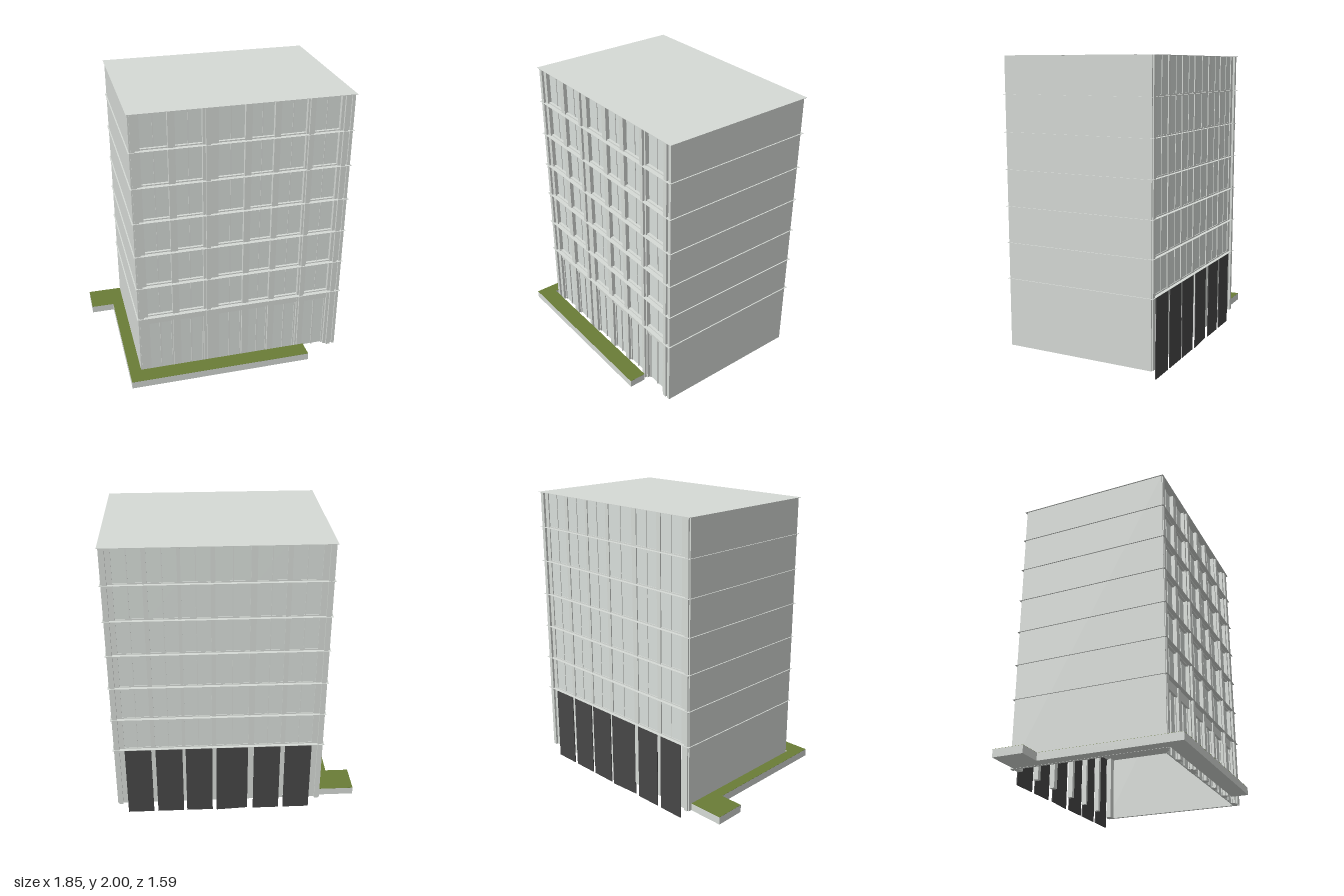
import * as THREE from 'three';

const mat = (name, color) => {
  const m = new THREE.MeshStandardMaterial({ color });
  m.name = name;
  return m;
};

export function createModel() {
  const wall = mat('pale concrete', 0xd6dad6);
  const glass = mat('pale glazing', 0xd8deda);
  const dark = mat('dark shutter', 0x474747);
  const grass = mat('grass', 0x6a7d37);

  const model = new THREE.Group();
  model.name = 'officeBlock';
  // The whole block stands turned on its plot
  const block = new THREE.Group();
  block.name = 'turnedBlock';
  block.position.set(0.056, 0, 0.02);
  block.rotation.y = -0.378;
  model.add(block);

  // Box given by its limits on each axis
  const box = (name, m, x0, x1, y0, y1, z0, z1, parent = block) => {
    const mesh = new THREE.Mesh(new THREE.BoxGeometry(x1 - x0, y1 - y0, z1 - z0), m);
    mesh.position.set((x0 + x1) / 2, (y0 + y1) / 2, (z0 + z1) / 2);
    mesh.name = name;
    parent.add(mesh);
    return mesh;
  };

  const W = 0.721, D = 0.533, base = 0.08, wallX = 0.713;
  const levels = [0.543, 0.787, 1.03, 1.272, 1.515, 1.757, 2];

  // Very thin floor slabs and roof, slightly wider than the walls
  levels.forEach((y, i) =>
    box(i === 6 ? 'roofSlab' : 'floorSlab', wall, -W, W, y - 0.002, y, -D, D));

  // Blank side walls
  for (const s of [-1, 1]) {
    const xs = [s * wallX, s * (wallX - 0.02)].sort((a, b) => a - b);
    box('sideWall', wall, xs[0], xs[1], base, 1.998, -0.517, 0.521);
  }

  const frontBays = [[-0.645, -0.475], [-0.43, -0.26], [-0.16, 0.01], [0.053, 0.198], [0.238, 0.408], [0.46, 0.63]];
  const backBays = [[-0.637, -0.454], [-0.422, -0.24], [-0.2, 0.018], [0.046, 0.228], [0.25, 0.433], [0.462, 0.642]];

  // Facades: piers between bays, glazing set back by the reveal, one row per storey
  const facade = (name, bays, s, reveal, pilasters) => {
    const g = new THREE.Group();
    g.name = name;
    block.add(g);
    // Box between two distances from the centre, on the chosen side
    const slab = (n, m, x0, x1, y0, y1, near, far) =>
      box(n, m, x0, x1, y0, y1, s > 0 ? near : -far, s > 0 ? far : -near, g);
    const face = 0.511, pane = face - reveal;

    // Piers run the full height
    const edges = [-wallX + 0.001, ...bays.flat(), wallX - 0.001];
    for (let i = 0; i < edges.length; i += 2)
      slab('pier', wall, edges[i], edges[i + 1], base, 1.998, 0.475, face);
    for (const x of pilasters)
      slab('pilaster', wall, x - 0.014, x + 0.014, base, 1.998, 0.5, 0.526);

    bays.forEach(([x0, x1]) => {
      const mid = (x0 + x1) / 2;
      for (let i = 0; i < 6; i++) {
        const y0 = levels[i], y1 = levels[i + 1] - 0.002;
        slab('windowPane', glass, x0, x1, y0, y1, pane - 0.008, pane);
        slab('windowMullion', wall, mid - 0.003, mid + 0.003, y0, y1, pane, pane + 0.004);
        slab('windowSill', wall, x0, x1, y0 - 0.008, y0 + 0.008, pane - 0.008, face - reveal * 0.3);
      }
    });
    return slab;
  };

  // Entrance storey of the front: glazed doors below header panels
  const front = facade('frontFacade', frontBays, 1, 0.026, [-0.69, -0.228, 0.434, 0.664]);
  frontBays.forEach(([x0, x1]) => {
    const mid = (x0 + x1) / 2;
    front('doorHeader', wall, x0, x1, 0.48, 0.536, 0.475, 0.503);
    front('doorPane', glass, x0, x1, base, 0.48, 0.477, 0.485);
    for (const x of [x0 + 0.005, mid, x1 - 0.005])
      front('doorPost', wall, x - 0.005, x + 0.005, base, 0.48, 0.485, 0.493);
  });

  // Loading bays of the back: tall dark shutters reaching the ground
  const back = facade('backFacade', backBays, -1, 0.007, [-0.69, 0.69]);
  backBays.forEach(([x0, x1], i) => {
    const shutter = back('shutter', dark, x0, x1, 0, 0.541, 0.512, 0.518);
    if (i === 2) shutter.rotation.y = 0.06; // one stands slightly ajar
  });

  // Raised planting bed wrapping the front and left sides
  const outline = [[-0.796, 0.656], [0.462, 0.656], [0.462, 0.54], [-0.716, 0.54],
    [-0.716, -0.495], [-0.957, -0.495], [-0.957, -0.286], [-0.796, -0.286]];
  const shape = new THREE.Shape(outline.map(([x, z]) => new THREE.Vector2(x, -z)));
  const bed = (name, m, y, h) => {
    const geo = new THREE.ExtrudeGeometry(shape, { depth: h, bevelEnabled: false });
    const mesh = new THREE.Mesh(geo.rotateX(-Math.PI / 2), m);
    mesh.position.y = y;
    mesh.name = name;
    block.add(mesh);
  };
  bed('planterCurb', wall, base, 0.051);
  bed('planterGrass', grass, base + 0.051, 0.001);

  return model;
}
